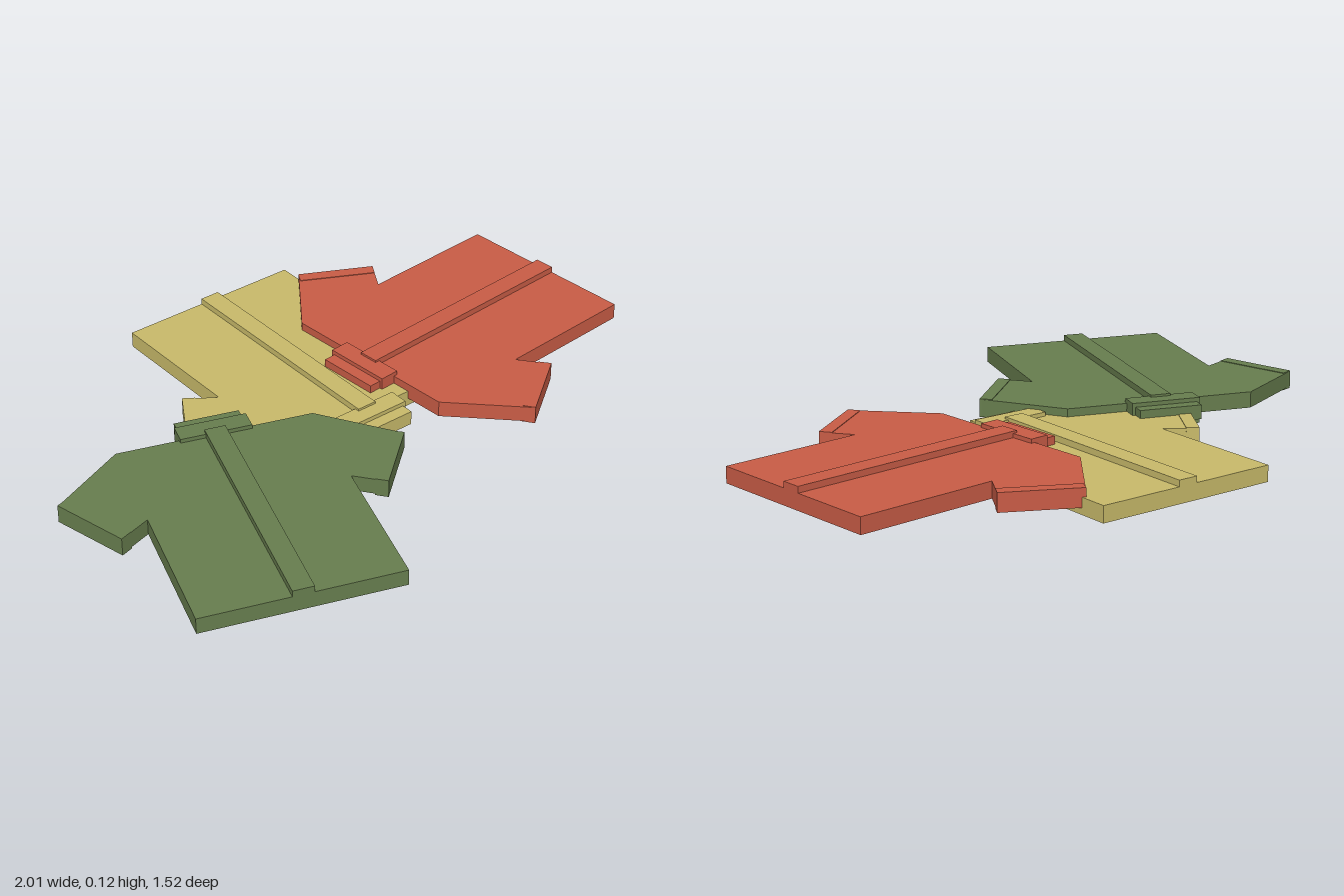
import * as THREE from 'three';

// Flat slab from a plan outline: x across the shirt, second value from hem (0) to neck
function slab(name, points, bottom, top, material) {
  const shape = new THREE.Shape(points.map(([x, y]) => new THREE.Vector2(x, y)));
  const geometry = new THREE.ExtrudeGeometry(shape, { depth: top - bottom, bevelEnabled: false });
  geometry.rotateX(-Math.PI / 2);
  geometry.translate(0, bottom, 0);
  const mesh = new THREE.Mesh(geometry, material);
  mesh.name = name;
  return mesh;
}

const strip = (halfWidth, from, to) =>
  [[-halfWidth, from], [halfWidth, from], [halfWidth, to], [-halfWidth, to]];

// One shirt lying flat, hem centre at the origin, neck towards -z
function createShirt(name, color) {
  const shirt = new THREE.Group();
  shirt.name = name;
  const material = new THREE.MeshStandardMaterial({ color, flatShading: true });

  // Body and sleeves share one mirrored outline
  const half = [[0.31, 0], [0.31, 0.471], [0.403, 0.408], [0.534, 0.622], [0.31, 0.814]];
  const mirrored = half.map(([x, y]) => [-x, y]).reverse();
  shirt.add(slab('body', [...half, ...mirrored], 0.018, 0.07, material));

  // Button strip down the front
  shirt.add(slab('placket', strip(0.033, 0, 0.816), 0.06, 0.09, material));

  // Collar: thick stand and thinner band beyond it
  shirt.add(slab('collarStand', strip(0.113, 0.80, 0.865), 0, 0.083, material));
  shirt.add(slab('collarBand', strip(0.103, 0.85, 0.905), 0.024, 0.07, material));

  // Cuffs along the sleeve ends
  const cuff = [[0.404, 0.407], [0.536, 0.622], [0.502, 0.643], [0.370, 0.430]];
  shirt.add(slab('leftCuff', cuff, 0.013, 0.072, material));
  shirt.add(slab('rightCuff', cuff.map(([x, y]) => [-x, y]).reverse(), 0.013, 0.072, material));
  return shirt;
}

export function createModel() {
  const model = new THREE.Group();
  model.name = 'shirtPile';
  // name, colour, hem centre x, height, z, turn
  const shirts = [
    ['yellowShirt', 0xc8ba6a, 0.01, 0, -0.765, Math.PI],
    ['greenShirt', 0x677d4e, -0.7075, 0.026, 0.655, -0.33],
    ['redShirt', 0xc85c46, 0.973, 0.026, -0.1925, 1.652],
  ];
  for (const [name, color, x, y, z, turn] of shirts) {
    const shirt = createShirt(name, color);
    shirt.position.set(x, y, z);
    shirt.rotation.y = turn;
    model.add(shirt);
  }
  return model;
}
